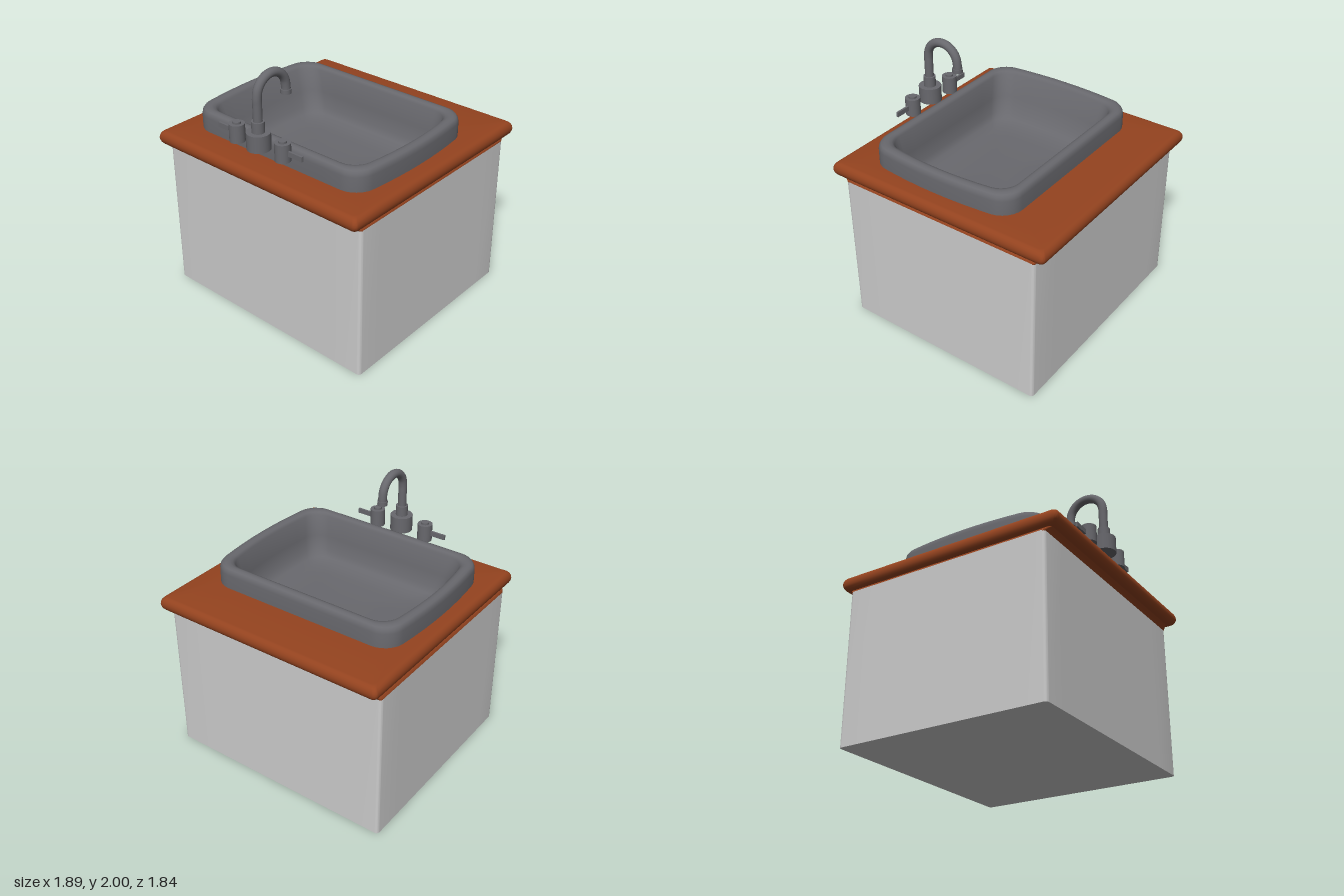
import * as THREE from 'three';
import { toCreasedNormals } from 'three/addons/utils/BufferGeometryUtils.js';

const metal = new THREE.MeshStandardMaterial({ color: 0x68686d });
const wood = new THREE.MeshStandardMaterial({ color: 0x94431f });
const grey = new THREE.MeshStandardMaterial({ color: 0xcccccc });

// Rounded rectangle at height y; its left and right sides swell by bulge.
function ring({ x = 0, z = 0, y, hw, hd, r = 0, bulge = 0 }) {
  const corners = [[1, 1, 0], [-1, 1, 1], [-1, -1, 2], [1, -1, 3]];
  const outline = corners.map(([sx, sz, q]) => {
    const arc = [];
    for (let i = 0; i <= 6; i++) {
      const a = (q + i / 6) * Math.PI / 2;
      arc.push([sx * (hw - r) + r * Math.cos(a), sz * (hd - r) + r * Math.sin(a)]);
    }
    return arc;
  });
  const points = [];
  outline.forEach((arc, q) => {
    points.push(...arc);
    const from = arc[6], to = outline[(q + 1) % 4][0];
    for (let i = 1; i < 8; i++) {
      points.push([from[0] + (to[0] - from[0]) * i / 8, from[1] + (to[1] - from[1]) * i / 8]);
    }
  });
  return points.map(([px, pz]) => {
    const swell = hw && hd ? bulge * (px / hw) * (1 - (pz / hd) ** 2) : 0;
    return [x + px + swell, y, z + pz];
  });
}

// Skin over a stack of rings, listed up the outside and down the inside.
function loft(specs, crease = 0.7) {
  const rings = specs.map(ring), n = rings[0].length, index = [];
  for (let i = 0; i < rings.length - 1; i++) {
    for (let j = 0; j < n; j++) {
      const k = (j + 1) % n;
      const a = i * n + j, b = i * n + k, c = a + n, d = b + n;
      index.push(a, c, b, b, c, d);
    }
  }
  const geo = new THREE.BufferGeometry();
  geo.setAttribute('position', new THREE.Float32BufferAttribute(rings.flat(2), 3));
  geo.setIndex(index);
  return toCreasedNormals(geo, crease);
}

function add(parent, name, geo, material, x = 0, y = 0, z = 0) {
  const mesh = new THREE.Mesh(geo, material);
  mesh.name = name;
  mesh.position.set(x, y, z);
  parent.add(mesh);
  return mesh;
}

// Upright cylinder between two heights
function post(parent, name, r, y0, y1, x, z) {
  return add(parent, name, new THREE.CylinderGeometry(r, r, y1 - y0, 24), metal, x, (y0 + y1) / 2, z);
}

export function createModel() {
  const group = new THREE.Group();

  // Cabinet with a closed bottom
  const body = { x: -0.01, z: -0.005, hw: 0.92, hd: 0.825, r: 0.025 };
  add(group, 'cabinet', loft([
    { ...body, y: 0, hw: 0, hd: 0, r: 0 },
    { ...body, y: 0 },
    { ...body, y: 1.19 },
  ]), grey);

  // Sink footprint, shared by the basin and the opening in the counter
  const sink = { x: -0.01, z: 0.08 };
  const sinkRing = (y, hw, hd, r, bulge, dx = 0, dz = 0) =>
    ({ x: sink.x + dx, z: sink.z + dz, y, hw, hd, r, bulge });

  // Cove moulding under the counter
  add(group, 'coveMoulding', loft([
    { ...body, y: 1.185 },
    { ...body, y: 1.195, hw: 0.918, hd: 0.832 },
    { ...body, y: 1.21, hw: 0.905, hd: 0.845 },
    { ...body, y: 1.225, hw: 0.885, hd: 0.865 },
  ]), wood);

  // Counter with a rounded edge and an opening for the sink
  const edge = [];
  for (let i = 0; i <= 10; i++) {
    const a = -Math.PI / 2 + Math.PI * i / 10;
    const inset = 0.045 * (1 - Math.cos(a));
    edge.push({ y: 1.275 + 0.055 * Math.sin(a), hw: 0.945 - inset, hd: 0.92 - inset, r: 0.03 });
  }
  const hole = y => sinkRing(y, 0.73, 0.57, 0.12, 0.05);
  add(group, 'counter', loft([hole(1.22), ...edge, hole(1.33), hole(1.22)]), wood);

  // Basin: outer wall, rolled rim, sloping inner walls and a rounded floor
  add(group, 'basin', loft([
    sinkRing(1.3, 0.77, 0.61, 0.14, 0.05),
    sinkRing(1.44, 0.77, 0.61, 0.14, 0.05),
    sinkRing(1.465, 0.766, 0.606, 0.14, 0.05),
    sinkRing(1.483, 0.755, 0.595, 0.135, 0.05),
    sinkRing(1.49, 0.737, 0.577, 0.13, 0.05),
    sinkRing(1.49, 0.715, 0.556, 0.125, 0.05),
    sinkRing(1.484, 0.695, 0.538, 0.12, 0.05),
    sinkRing(1.465, 0.68, 0.525, 0.12, 0.05),
    sinkRing(1.3, 0.645, 0.5, 0.12, 0.04, 0.02),
    sinkRing(1.19, 0.615, 0.475, 0.12, 0.03, 0.03),
    sinkRing(1.145, 0.58, 0.445, 0.12, 0.02, 0.03),
    sinkRing(1.12, 0.51, 0.38, 0.12, 0.01, 0.03),
    sinkRing(1.11, 0.42, 0.3, 0.1, 0, 0.03),
    sinkRing(1.105, 0, 0, 0, 0, 0.03),
  ], 1.0), metal);

  // Faucet with a gooseneck spout
  const faucet = new THREE.Group();
  faucet.name = 'faucet';
  group.add(faucet);
  const fx = -0.02, fz = 0.79;
  post(faucet, 'faucetBase', 0.086, 1.455, 1.58, fx, fz);
  post(faucet, 'faucetCollar', 0.046, 1.58, 1.66, fx, fz);
  const path = [[1.64, fz], [1.72, fz], [1.78, fz]];
  for (let i = 0; i <= 8; i++) {
    const a = Math.PI * i / 8;
    path.push([1.83 + 0.137 * Math.sin(a), 0.652 + 0.138 * Math.cos(a)]);
  }
  path.push([1.785, 0.512]);
  const curve = new THREE.CatmullRomCurve3(path.map(([y, z]) => new THREE.Vector3(fx, y, z)));
  add(faucet, 'spout', new THREE.TubeGeometry(curve, 48, 0.033, 16), metal);
  post(faucet, 'spoutTip', 0.039, 1.772, 1.805, fx, 0.514);

  // Pair of tap handles with outward levers
  for (const [side, x] of [['right', -0.24], ['left', 0.195]]) {
    const s = side === 'left' ? 1 : -1;
    const handle = new THREE.Group();
    handle.name = side + 'Handle';
    group.add(handle);
    post(handle, 'knob', 0.057, 1.435, 1.57, x, 0.78);
    post(handle, 'knobCap', 0.03, 1.57, 1.585, x, 0.78);
    add(handle, 'lever', new THREE.BoxGeometry(0.14, 0.038, 0.016), metal, x + s * 0.108, 1.503, 0.78);
  }

  return group;
}
